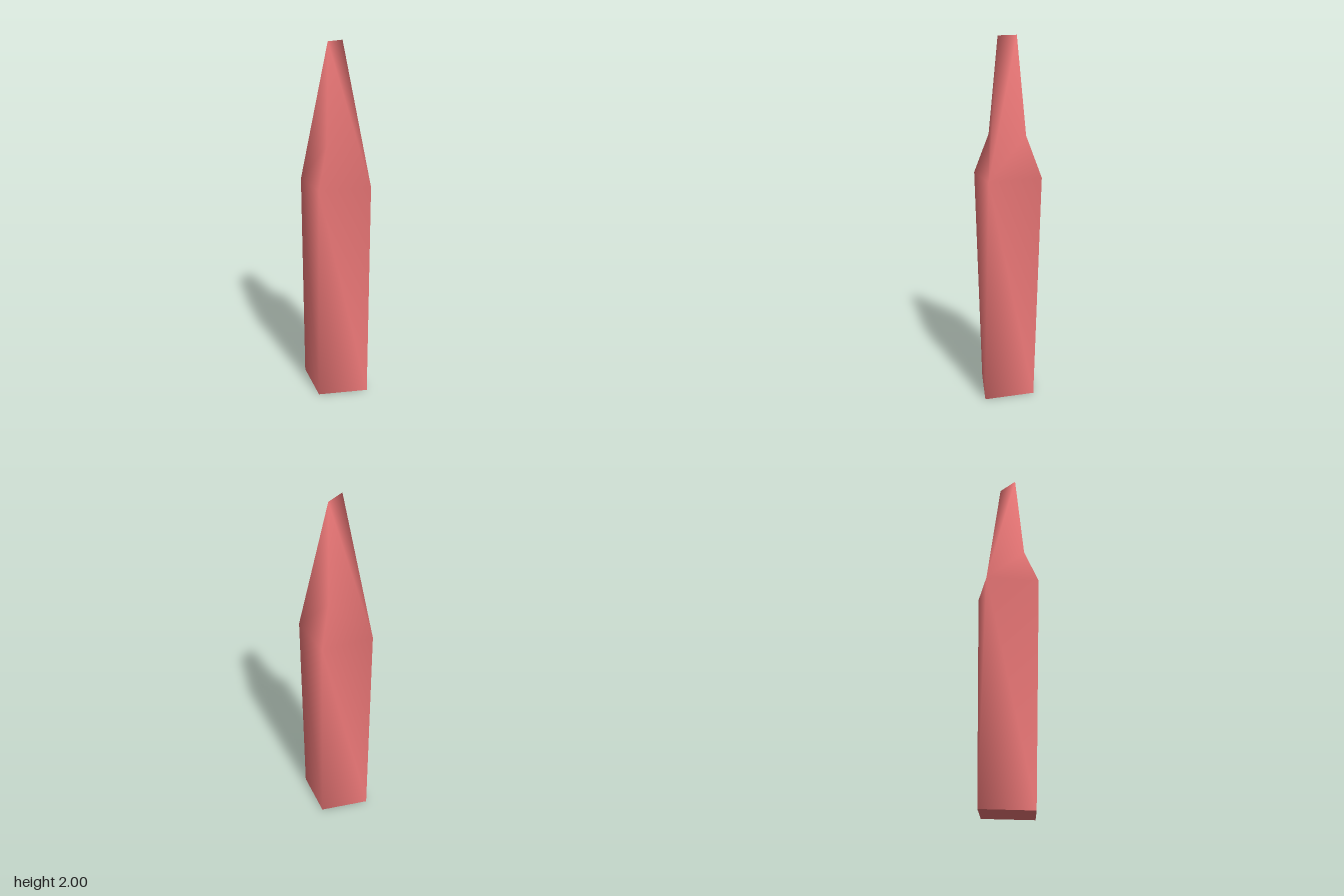
import * as THREE from 'three';

// Half of the corners; the other half is the same turned 180 degrees about y.
const half = {
  baseFront: [0.12, 0, 0.183],
  baseSide: [0.155, 0, -0.1],
  bodyFront: [0.135, 1.25, 0.16],
  bodySide: [0.16, 1.26, -0.135],
  shoulder: [0.085, 1.48, -0.075],
  tip: [0.057, 2, -0.031],
};

function buildSurface(faces) {
  const names = Object.keys(half);
  const n = names.length;
  const positions = [];
  for (const s of [1, -1]) {
    for (const name of names) {
      const [x, y, z] = half[name];
      positions.push(s * x, y, s * z);
    }
  }
  // A leading "-" picks the opposite corner
  const find = (key) => key[0] === '-' ? names.indexOf(key.slice(1)) + n : names.indexOf(key);
  const index = [];
  for (const turn of [0, n]) {
    for (const face of faces) index.push(...face.map((key) => (find(key) + turn) % (2 * n)));
  }
  const geometry = new THREE.BufferGeometry();
  geometry.setAttribute('position', new THREE.Float32BufferAttribute(positions, 3));
  geometry.setIndex(index);
  geometry.computeVertexNormals();
  return geometry;
}

export function createModel() {
  const group = new THREE.Group();
  group.name = 'taperedSpire';
  const material = new THREE.MeshStandardMaterial({ color: 0xf47c7c });

  // Four-sided shaft narrowing over a shoulder to a chisel tip
  const shaft = new THREE.Mesh(buildSurface([
    ['baseFront', 'baseSide', 'bodyFront'],
    ['baseSide', 'bodySide', 'bodyFront'],
    ['baseSide', '-baseFront', 'bodySide'],
    ['-baseFront', '-bodyFront', 'bodySide'],
    ['bodyFront', 'bodySide', 'shoulder'],
    ['bodyFront', 'shoulder', 'tip'],
    ['bodyFront', 'tip', '-tip'],
    ['-bodySide', 'bodyFront', '-shoulder'],
    ['bodyFront', '-tip', '-shoulder'],
  ]), material);
  shaft.name = 'shaft';
  group.add(shaft);

  // Flat underside
  const underside = new THREE.Mesh(buildSurface([
    ['baseFront', '-baseSide', '-baseFront'],
  ]), material);
  underside.name = 'underside';
  group.add(underside);

  return group;
}
